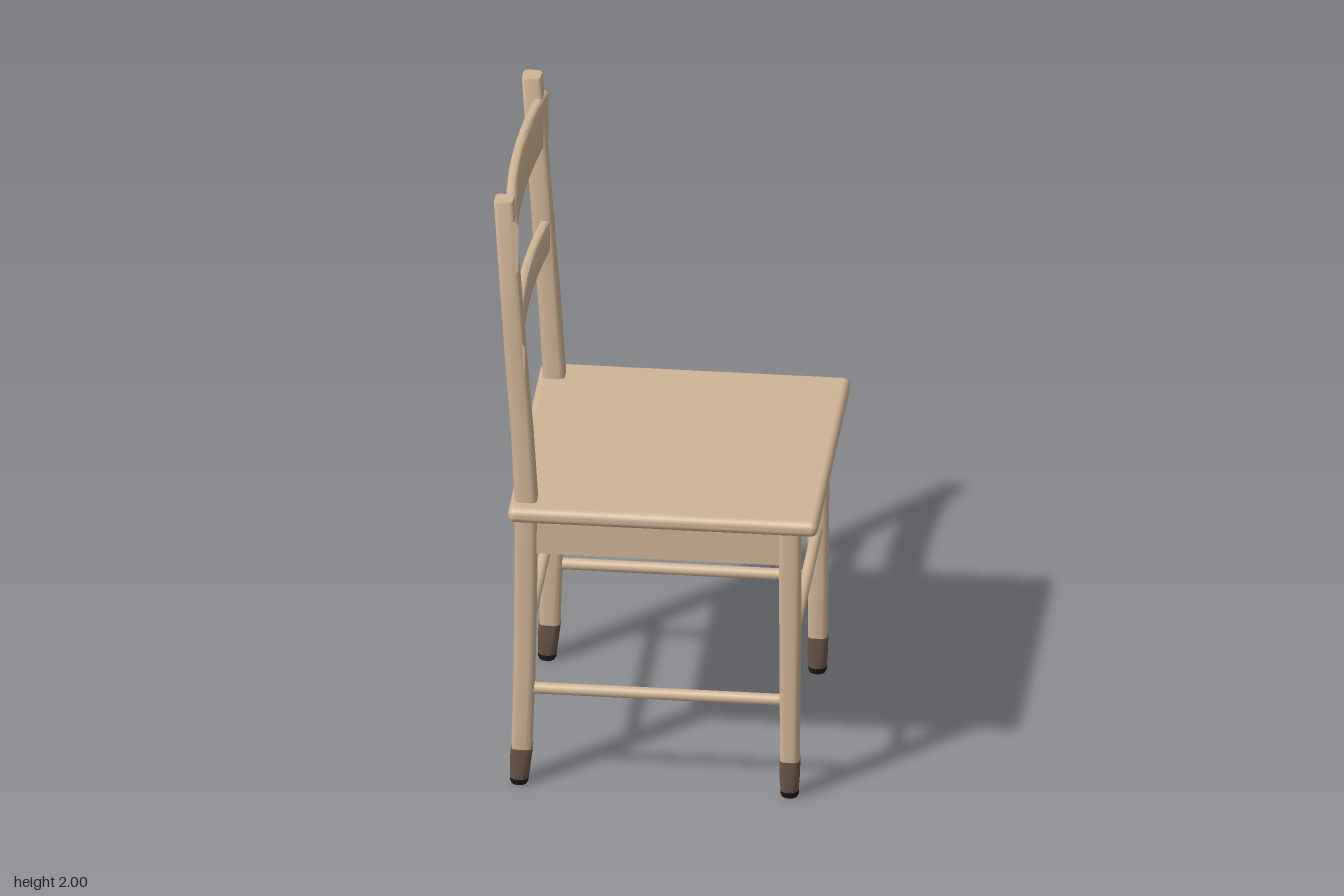
import * as THREE from 'three';
import { toCreasedNormals } from 'three/addons/utils/BufferGeometryUtils.js';
import { RoundedBoxGeometry } from 'three/addons/geometries/RoundedBoxGeometry.js';

const wood = new THREE.MeshStandardMaterial({ color: 0xd0b494 });
wood.name = 'pale wood';
const sock = new THREE.MeshStandardMaterial({ color: 0x6b5646 });
sock.name = 'dark brown';
const rubber = new THREE.MeshStandardMaterial({ color: 0x1c1a19 });
rubber.name = 'black rubber';

// Rounded-rectangle cross-section: half sizes a, b; corner radius r
function section(a, b, r) {
  const pts = [];
  for (let q = 0; q < 4; q++) {
    const cx = (q === 0 || q === 3 ? 1 : -1) * (a - r);
    const cy = (q < 2 ? 1 : -1) * (b - r);
    for (let k = 0; k <= 3; k++) {
      const t = (q + k / 3) * Math.PI / 2;
      pts.push([cx + r * Math.cos(t), cy + r * Math.sin(t)]);
    }
  }
  return pts;
}

// Skin a list of equal-length rings of points and close both ends
function loft(rings) {
  const n = rings[0].length, pos = [], index = [];
  rings.forEach(ring => ring.forEach(p => pos.push(...p)));
  for (let i = 0; i < rings.length - 1; i++) {
    for (let j = 0; j < n; j++) {
      const a = i * n + j, b = i * n + (j + 1) % n;
      index.push(a, b, b + n, a, b + n, a + n);
    }
  }
  const last = (rings.length - 1) * n;
  for (let j = 1; j < n - 1; j++) {
    index.push(0, j + 1, j, last, last + j, last + j + 1);
  }
  const g = new THREE.BufferGeometry();
  g.setAttribute('position', new THREE.Float32BufferAttribute(pos, 3));
  g.setIndex(index);
  return toCreasedNormals(g, 0.7);
}

// Upright post through stations [y, centre x, half width, corner radius]
function post(stations, z) {
  return loft(stations.map(([y, x, h, r]) =>
    section(h, h, r).map(([u, v]) => [x + v, y, z + u])));
}

// Bowed slat running along z, its middle pushed backwards
function slat(xMid, y, height) {
  const rings = [];
  for (let i = 0; i <= 16; i++) {
    const z = -0.433 + 0.866 * i / 16;
    const x = xMid + 0.036 * (z / 0.433) ** 2;
    rings.push(section(0.016, height / 2, 0.013).map(([u, v]) => [x + u, y + v, z]));
  }
  return loft(rings);
}

export function createModel() {
  const chair = new THREE.Group();
  chair.name = 'chair';
  const add = (name, geometry, material, x = 0, y = 0, z = 0) => {
    const mesh = new THREE.Mesh(geometry, material);
    mesh.name = name;
    mesh.position.set(x, y, z);
    chair.add(mesh);
    return mesh;
  };

  // Seat board
  add('seat', new RoundedBoxGeometry(0.945, 0.05, 0.97, 4, 0.022), wood, 0.0225, 0.95, 0);

  for (const side of [1, -1]) {
    const name = side > 0 ? 'Left' : 'Right', z = side * 0.403;

    // Back legs run up into the leaning back posts
    add('backPost' + name, post([
      [0.12, -0.414, 0.031, 0.016], [0.35, -0.407, 0.032, 0.016], [0.6, -0.403, 0.033, 0.016],
      [0.97, -0.4, 0.034, 0.016], [1.2, -0.413, 0.033, 0.016], [1.5, -0.435, 0.032, 0.015],
      [1.994, -0.468, 0.03, 0.013], [2, -0.468, 0.028, 0.013]], z), wood);
    add('backSock' + name, post([
      [0.02, -0.421, 0.028, 0.022], [0.06, -0.419, 0.031, 0.02], [0.125, -0.414, 0.033, 0.016]], z), sock);
    add('backFoot' + name, post([
      [0, -0.422, 0.024, 0.022], [0.008, -0.422, 0.028, 0.025], [0.02, -0.421, 0.028, 0.025]], z), rubber);

    // Front legs
    add('frontLeg' + name, post([
      [0.12, 0.403, 0.029, 0.016], [0.6, 0.404, 0.032, 0.016], [0.935, 0.404, 0.033, 0.016]], z), wood);
    add('frontSock' + name, post([
      [0.02, 0.402, 0.027, 0.022], [0.06, 0.402, 0.03, 0.02], [0.125, 0.403, 0.031, 0.016]], z), sock);
    add('frontFoot' + name, post([
      [0, 0.402, 0.024, 0.022], [0.008, 0.402, 0.028, 0.025], [0.02, 0.402, 0.028, 0.025]], z), rubber);

    // Side apron and side stretcher
    add('sideApron' + name, new THREE.BoxGeometry(0.78, 0.135, 0.034), wood, 0, 0.8625, z);
    add('sideStretcher' + name, new THREE.CylinderGeometry(0.018, 0.018, 0.79, 16), wood, 0, 0.325, z)
      .rotation.z = Math.PI / 2;

    // Front and back aprons and stretchers
    const end = side > 0 ? 'front' : 'back', x = side * 0.403;
    add(end + 'Apron', new THREE.BoxGeometry(0.034, 0.135, 0.78), wood, x, 0.8625, 0);
    add(end + 'Stretcher', new THREE.CylinderGeometry(0.018, 0.018, 0.79, 16), wood, x, 0.495, 0)
      .rotation.x = Math.PI / 2;
  }

  // Back slats, let through the posts
  add('upperSlat', slat(-0.474, 1.843, 0.175), wood);
  add('lowerSlat', slat(-0.453, 1.46, 0.11), wood);
  return chair;
}
